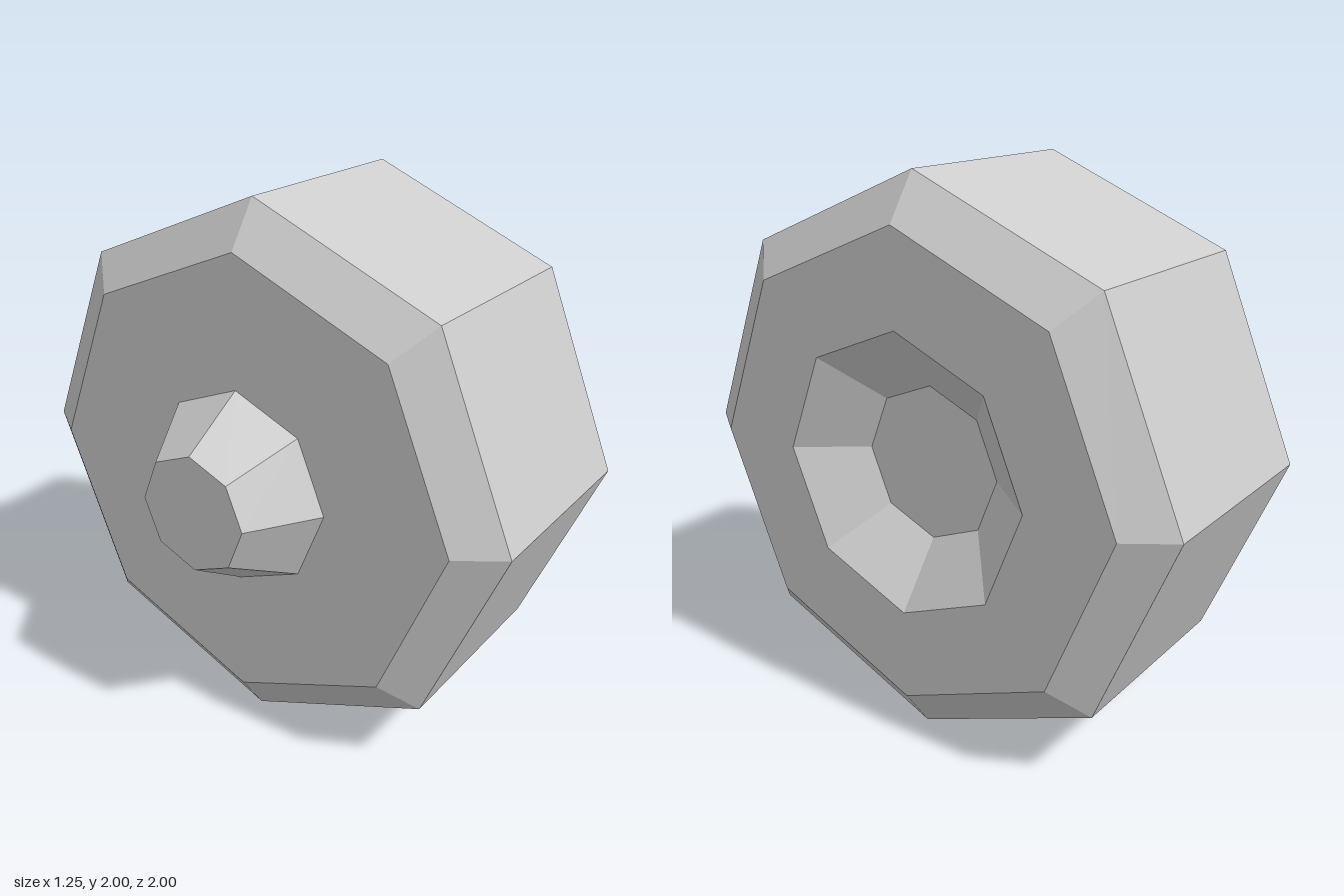
import * as THREE from 'three';

const SIDES = 8;

// Eight-sided ring turned about the x axis; profile is [x, radius] from -x to +x.
function turned(name, profile, material) {
  const points = profile.map(([x, r]) => new THREE.Vector2(r, x));
  const geometry = new THREE.LatheGeometry(points, SIDES);
  geometry.rotateZ(-Math.PI / 2);
  const mesh = new THREE.Mesh(geometry, material);
  mesh.name = name;
  return mesh;
}

export function createModel() {
  const material = new THREE.MeshStandardMaterial({ color: 0xcccccc, flatShading: true });
  const wheel = new THREE.Group();
  wheel.name = 'wheel';

  // Tapered axle stub on the inner side
  wheel.add(turned('axleStub', [[-0.625, 0], [-0.625, 0.215], [-0.38, 0.367]], material));

  // Tyre with bevelled shoulders and flat side walls
  wheel.add(turned('tyre', [
    [-0.38, 0.367], [-0.38, 0.84], [-0.27, 1], [0.51, 1], [0.62, 0.84], [0.62, 0.505],
  ], material));

  // Sunken hub on the outer side
  wheel.add(turned('hubRecess', [[0.62, 0.505], [0.45, 0.28], [0.45, 0]], material));

  // Stand the wheel on the ground
  wheel.position.y = 1;
  const model = new THREE.Group();
  model.name = 'wheelModel';
  model.add(wheel);
  return model;
}
